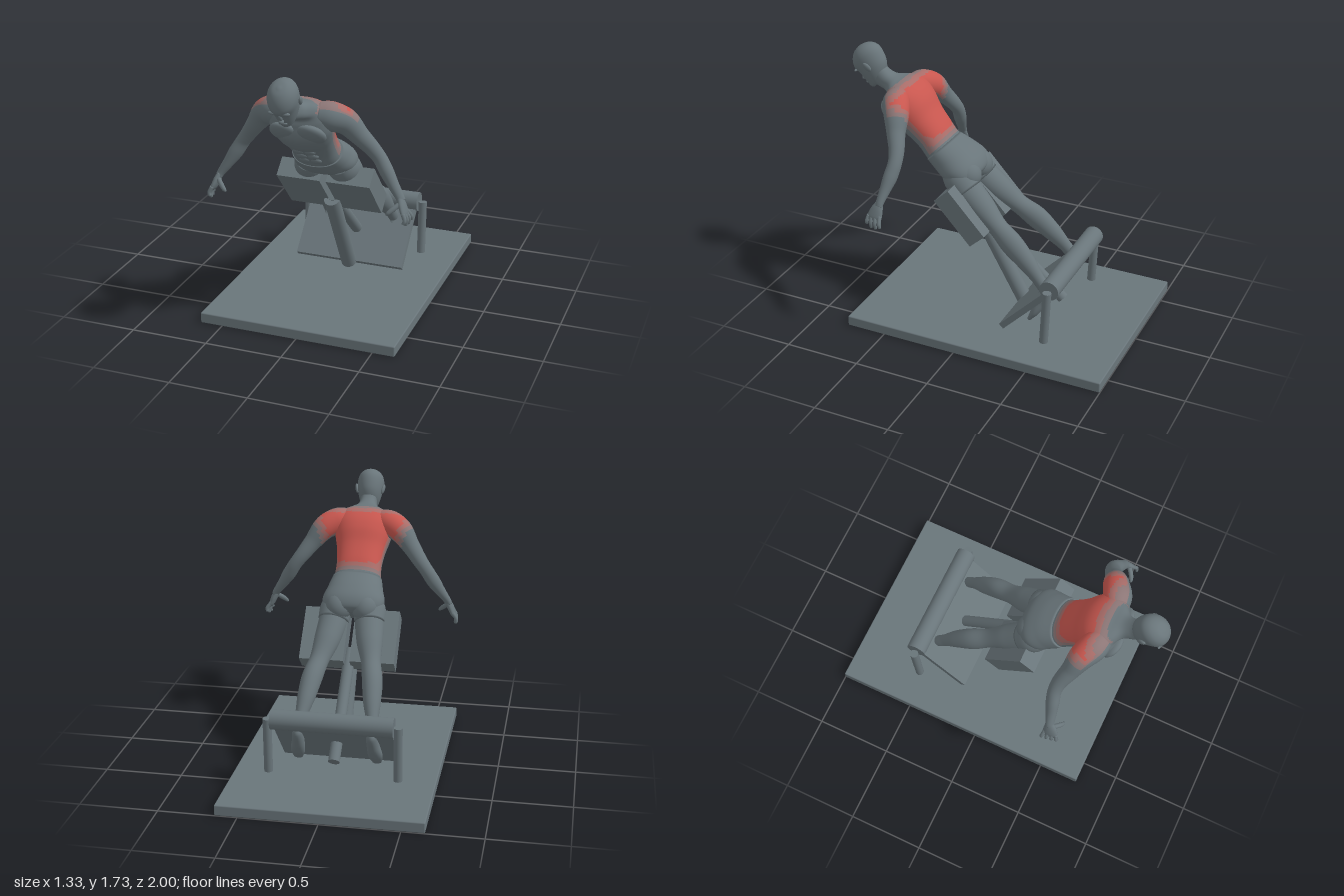
import * as THREE from 'three';
import { RoundedBoxGeometry } from 'three/addons/geometries/RoundedBoxGeometry.js';

const V = (x, y, z) => new THREE.Vector3(x, y, z);
const mat = (name, color) => {
  const m = new THREE.MeshStandardMaterial({ color });
  m.name = name;
  return m;
};

export function createModel() {
  const group = new THREE.Group();
  const grey = mat('slate grey', 0x69757a);
  const tones = [grey, mat('faint red', 0x8c7676), mat('soft red', 0xa96d69), mat('muscle red', 0xc8574f)];

  const add = (name, geo, pos = [0, 0, 0], tilt = 0, parent = group) => {
    const m = new THREE.Mesh(geo, grey);
    m.name = name;
    m.position.set(...pos);
    m.rotation.x = tilt;
    parent.add(m);
    return m;
  };
  const rod = (name, a, b, r) => {
    const d = b.clone().sub(a);
    const m = add(name, new THREE.CylinderGeometry(r, r, d.length(), 32), a.clone().add(b).multiplyScalar(0.5).toArray());
    m.quaternion.setFromUnitVectors(V(0, 1, 0), d.normalize());
    return m;
  };
  const blob = (name, pos, size, tilt = 0) => {
    const m = add(name, new THREE.SphereGeometry(1, 24, 16), pos, tilt);
    m.scale.set(...size);
    return m;
  };

  // Highlighted back muscles: 0 = plain, 3 = strongest
  const backTone = (p, sin) => {
    const s = (p.z - 0.29) * 0.66 + (p.y - 1.19) * 0.75;
    const k = Math.min(s, 0.49 - s, 0.16 + 0.45 * s - Math.abs(p.x), 0.02 - sin * 0.2);
    return k > 0.065 ? 3 : k > 0.03 ? 2 : k > 0 ? 1 : 0;
  };

  // Closed skin over rings given by at(t) -> { c, u, v }
  const skin = (name, at, rows, cols, tone, power = 1) => {
    const pos = [], idx = [[], [], [], []], pw = (a) => Math.sign(a) * Math.abs(a) ** power;
    const sines = [];
    for (let i = 0; i <= rows; i++) {
      const { c, u, v } = at(i / rows);
      for (let j = 0; j < cols; j++) {
        const a = (j / cols) * Math.PI * 2;
        sines[j] = Math.sin(a);
        pos.push(...c.clone().addScaledVector(u, pw(Math.cos(a))).addScaledVector(v, pw(Math.sin(a))).toArray());
      }
    }
    pos.push(...at(0).c.toArray(), ...at(1).c.toArray());
    const end = (rows + 1) * cols;
    for (let j = 0; j < cols; j++) {
      const k = (j + 1) % cols;
      for (let i = 0; i < rows; i++) {
        const a = i * cols + j, b = a + cols, c = i * cols + k, d = c + cols;
        const p = V(pos[a * 3], pos[a * 3 + 1], pos[a * 3 + 2]);
        idx[tone ? tone(p, sines[j]) : 0].push(a, b, c, c, b, d);
      }
      idx[0].push(end, j, k, end + 1, rows * cols + k, rows * cols + j);
    }
    const g = new THREE.BufferGeometry();
    g.setAttribute('position', new THREE.Float32BufferAttribute(pos, 3));
    g.setIndex(idx.flat());
    let start = 0;
    idx.forEach((l, n) => { if (l.length) g.addGroup(start, l.length, n); start += l.length; });
    g.computeVertexNormals();
    const m = add(name, g);
    m.material = tone ? tones : grey;
    return m;
  };

  // Body rings: [front z, front y, back z, back y, half width]
  const loft = (name, rings, tone, power = 1, grow = 1) => {
    const f = new THREE.CatmullRomCurve3(rings.map((r) => V(r[4], r[1], r[0])));
    const b = new THREE.CatmullRomCurve3(rings.map((r) => V(0, r[3], r[2])));
    return skin(name, (t) => {
      const p = f.getPoint(t), q = b.getPoint(t), w = p.x;
      p.x = 0;
      return { c: p.clone().add(q).multiplyScalar(0.5), u: V(w * grow, 0, 0), v: p.sub(q).multiplyScalar(0.5 * grow) };
    }, (rings.length - 1) * 8, 72, tone, power);
  };

  // Limb points: [x, y, z, side radius, front radius], mirrored by s
  const limb = (name, s, pts, front = V(0, -0.7, 0.7), tone = null, cols = 28) => {
    const path = new THREE.CatmullRomCurve3(pts.map((p) => V(p[0] * s, p[1], p[2])));
    const size = new THREE.CatmullRomCurve3(pts.map((p) => V(p[3], p[4], 0)));
    return skin(name, (t) => {
      const T = path.getTangent(t), r = size.getPoint(t);
      const v = front.clone().addScaledVector(T, -front.dot(T)).normalize();
      return { c: path.getPoint(t), u: T.clone().cross(v).multiplyScalar(r.x), v: v.multiplyScalar(r.y) };
    }, (pts.length - 1) * 6, cols, tone);
  };

  // Machine
  add('base', new RoundedBoxGeometry(1.29, 0.07, 1.765, 2, 0.008), [0, 0.035, -0.1175]);
  add('footPlate', new THREE.BoxGeometry(0.75, 0.46, 0.04), [0, 0.268, -0.375], -0.77);
  rod('frontPost', V(0, 0.1, -0.215), V(0, 0.685, 0.115), 0.051);
  rod('supportTube', V(0, 0.175, -0.49), V(0, 0.71, 0.1), 0.037);
  rod('ankleRoller', V(-0.387, 0.462, -0.545), V(0.387, 0.462, -0.545), 0.064);
  for (const s of [1, -1]) {
    add('thighPad', new THREE.BoxGeometry(0.29, 0.37, 0.135), [s * 0.166, 0.783, 0.11], 0.743);
    rod('rollerPost', V(s * 0.413, 0.1, -0.528), V(s * 0.413, 0.465, -0.545), 0.028);
  }

  // Torso and neck
  loft('torso', [
    [0.395, 0.995, 0.18, 1.135, 0.165],
    [0.445, 1.037, 0.29, 1.19, 0.155],
    [0.5, 1.1, 0.355, 1.275, 0.15],
    [0.58, 1.17, 0.42, 1.36, 0.162],
    [0.665, 1.23, 0.47, 1.445, 0.185],
    [0.72, 1.3, 0.525, 1.5, 0.2],
    [0.725, 1.385, 0.595, 1.535, 0.185],
    [0.725, 1.43, 0.665, 1.54, 0.125],
    [0.76, 1.44, 0.715, 1.548, 0.075],
    [0.835, 1.465, 0.756, 1.57, 0.058],
    [0.88, 1.51, 0.8, 1.61, 0.055],
  ], backTone, 0.88);

  // Shorts
  loft('shorts', [
    [0.19, 0.9, 0.1, 0.97, 0.12],
    [0.24, 0.91, 0.08, 1.015, 0.175],
    [0.325, 0.945, 0.105, 1.075, 0.198],
    [0.395, 0.995, 0.18, 1.135, 0.178],
    [0.445, 1.037, 0.29, 1.19, 0.158],
  ], null, 0.9, 1.03);

  // Head, in its own tilted frame: [height, front, back, half width]
  const headAt = (h, n) => [0.885 + h * 0.67 + n * 0.74, 1.615 + h * 0.74 - n * 0.67];
  loft('head', [
    [-0.15, 0.1, 0.05, 0.025], [-0.138, 0.112, 0.0, 0.045], [-0.11, 0.114, -0.05, 0.062],
    [-0.07, 0.113, -0.085, 0.076], [-0.03, 0.111, -0.102, 0.085], [0.02, 0.119, -0.112, 0.09],
    [0.05, 0.108, -0.108, 0.087], [0.08, 0.085, -0.09, 0.074], [0.105, 0.05, -0.055, 0.046],
    [0.116, 0.008, -0.008, 0.008],
  ].map(([h, f, b, w]) => [...headAt(h, f), ...headAt(h, b), w]));
  const face = (name, x, h, n, size) => {
    const [z, y] = headAt(h, n);
    return blob(name, [x, y, z], size, 0.735);
  };
  face('noseBridge', 0, -0.035, 0.112, [0.011, 0.035, 0.013]);
  face('noseTip', 0, -0.062, 0.12, [0.017, 0.014, 0.017]);
  face('lips', 0, -0.098, 0.112, [0.027, 0.009, 0.009]);

  for (const s of [1, -1]) {
    face('brow', s * 0.038, 0.005, 0.104, [0.03, 0.009, 0.012]);
    face('ear', s * 0.09, -0.025, -0.01, [0.012, 0.035, 0.02]).rotation.z = -s * 0.2;

    // Chest and abdominal muscles
    blob('chestMuscle', [s * 0.085, 1.335, 0.685], [0.092, 0.092, 0.04], 0.75);
    for (let i = 0; i < 3; i++)
      blob('abdominal', [s * 0.036, 1.092 + i * 0.047, 0.478 + i * 0.053], [0.036, 0.032, 0.022], 0.82);
    blob('buttock', [s * 0.085, 0.995, 0.16], [0.092, 0.1, 0.09], 0.75);

    // Arm
    limb('arm', s, [
      [0.1, 1.45, 0.635, 0.07, 0.075], [0.18, 1.435, 0.605, 0.088, 0.09], [0.255, 1.4, 0.565, 0.082, 0.08],
      [0.33, 1.31, 0.53, 0.06, 0.06], [0.4, 1.22, 0.492, 0.049, 0.048], [0.445, 1.16, 0.482, 0.045, 0.043],
      [0.485, 1.095, 0.49, 0.046, 0.043], [0.54, 1.01, 0.507, 0.034, 0.035], [0.585, 0.945, 0.52, 0.024, 0.029],
      [0.595, 0.925, 0.524, 0.022, 0.03],
    ], undefined, backTone, 48);

    // Hand
    limb('palm', s, [
      [0.587, 0.94, 0.522, 0.02, 0.026], [0.605, 0.9, 0.532, 0.022, 0.042],
      [0.622, 0.86, 0.54, 0.019, 0.05], [0.632, 0.838, 0.542, 0.012, 0.045],
    ], V(0, 0, 1));
    for (let i = 0; i < 4; i++) {
      const z = 0.505 + i * 0.025, drop = [0.015, 0, 0.0, 0.02][i];
      limb('finger', s, [
        [0.622, 0.865, z, 0.013, 0.013], [0.65 - i * 0.004, 0.825, z + (i - 1.5) * 0.006, 0.013, 0.012],
        [0.65 - i * 0.007, 0.785 + drop, z + (i - 1.5) * 0.009, 0.009, 0.009],
      ], V(0, 0, 1), null, 12);
    }
    limb('thumb', s, [
      [0.595, 0.915, 0.545, 0.015, 0.015], [0.56, 0.885, 0.575, 0.016, 0.015],
      [0.535, 0.862, 0.59, 0.013, 0.012], [0.522, 0.85, 0.592, 0.006, 0.006],
    ], V(0, 0, 1), null, 12);

    // Shorts leg, leg and foot
    limb('shortsLeg', s, [
      [0.1, 1.01, 0.235, 0.09, 0.1], [0.113, 0.95, 0.19, 0.105, 0.106], [0.12, 0.892, 0.135, 0.1, 0.1],
    ]);
    limb('leg', s, [
      [0.113, 0.95, 0.19, 0.09, 0.09], [0.12, 0.89, 0.135, 0.095, 0.096], [0.14, 0.8, 0.025, 0.085, 0.085],
      [0.17, 0.7, -0.1, 0.063, 0.063], [0.195, 0.62, -0.205, 0.066, 0.076], [0.212, 0.525, -0.315, 0.056, 0.062],
      [0.228, 0.43, -0.405, 0.037, 0.043], [0.236, 0.365, -0.462, 0.034, 0.04], [0.237, 0.345, -0.478, 0.02, 0.025],
    ]);
    limb('foot', s, [
      [0.236, 0.405, -0.485, 0.015, 0.018], [0.236, 0.36, -0.475, 0.034, 0.045], [0.24, 0.28, -0.435, 0.04, 0.045],
      [0.25, 0.2, -0.4, 0.046, 0.03], [0.255, 0.14, -0.365, 0.03, 0.014],
    ], V(0, 0.5, 0.87));
  }
  return group;
}
